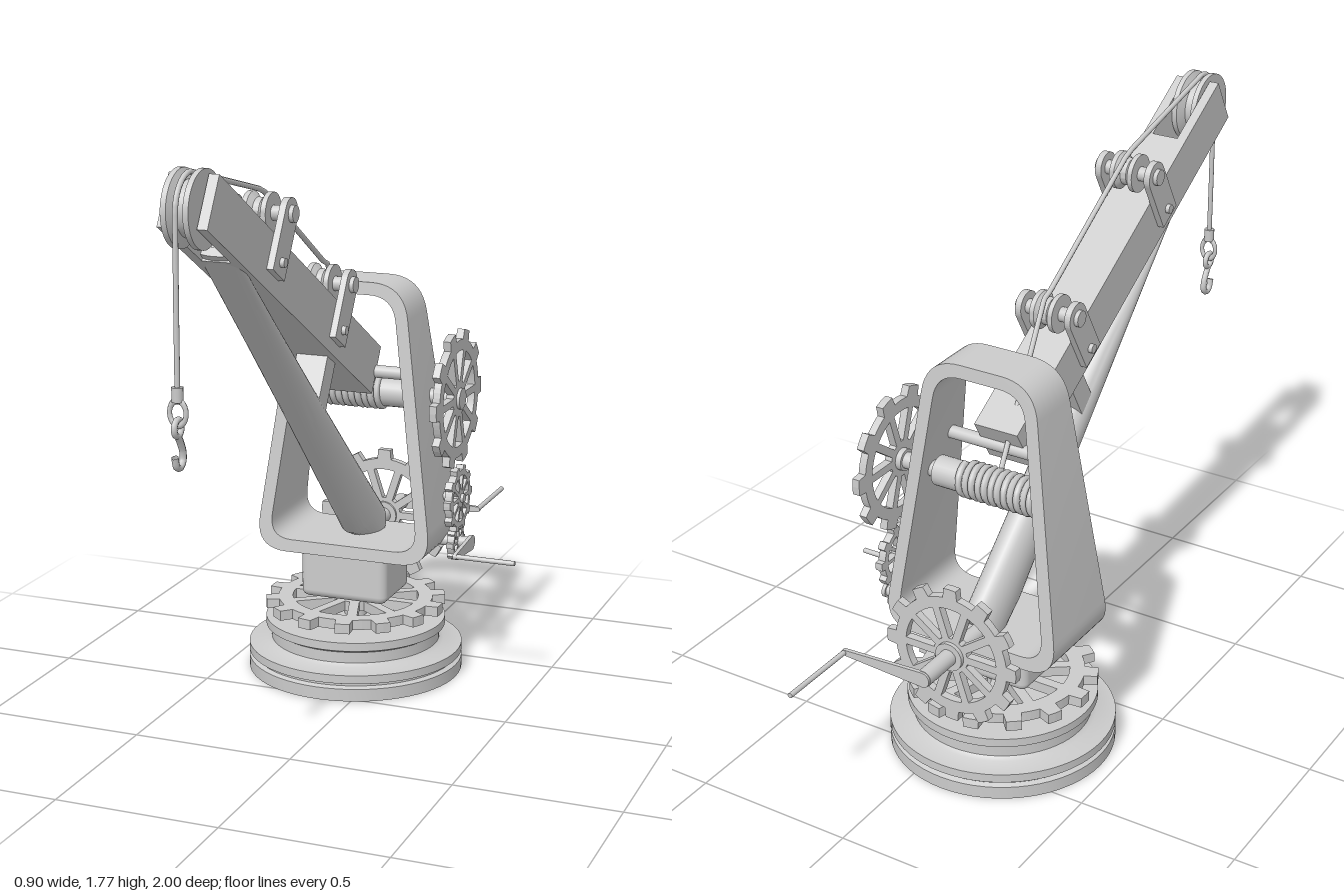
import * as THREE from 'three';
import { toCreasedNormals } from 'three/addons/utils/BufferGeometryUtils.js';
import { RoundedBoxGeometry } from 'three/addons/geometries/RoundedBoxGeometry.js';

const CX = -0.11; // centre plane of the crane
const mat = new THREE.MeshStandardMaterial({ color: 0xcccccc, side: THREE.DoubleSide });
const V2 = (x, y) => new THREE.Vector2(x, y);
const V3 = (x, y, z) => new THREE.Vector3(x, y, z);

function add(parent, name, geo, x = 0, y = 0, z = 0) {
  const m = new THREE.Mesh(geo, mat);
  m.name = name;
  m.position.set(x, y, z);
  parent.add(m);
  return m;
}

// Cylinder between two points
function rod(parent, name, a, b, r, sides = 24) {
  const m = add(parent, name, new THREE.CylinderGeometry(r, r, a.distanceTo(b), sides));
  m.position.copy(a).lerp(b, 0.5);
  m.quaternion.setFromUnitVectors(V3(0, 1, 0), b.clone().sub(a).normalize());
  return m;
}

function extrude(shape, depth) {
  return new THREE.ExtrudeGeometry(shape, { depth, bevelEnabled: false, curveSegments: 10 }).translate(0, 0, -depth / 2);
}

// Plate drawn in the (z, y) plane and centred on x
function sidePlate(parent, name, shape, width, x) {
  return add(parent, name, toCreasedNormals(extrude(shape, width), 0.6).rotateY(-Math.PI / 2), x);
}

// Polygon with rounded corners
function roundedPolygon(pts, radius, target) {
  pts.forEach((p, i) => {
    const prev = pts[(i + pts.length - 1) % pts.length], next = pts[(i + 1) % pts.length];
    const a = p.clone().add(prev.clone().sub(p).setLength(radius));
    const b = p.clone().add(next.clone().sub(p).setLength(radius));
    if (i) target.lineTo(a.x, a.y); else target.moveTo(a.x, a.y);
    target.quadraticCurveTo(p.x, p.y, b.x, b.y);
  });
  target.closePath();
  return target;
}

// Spoked gear lying in the xy plane
function gearGeometry(R, teeth, spokes, depth) {
  const shape = new THREE.Shape(), step = (Math.PI * 2) / teeth, root = R * 0.86;
  for (let i = 0; i < teeth; i++) {
    [[-0.5, root], [-0.36, root], [-0.24, root], [-0.18, R], [0, R], [0.18, R], [0.24, root], [0.36, root]].forEach(([f, r], k) => {
      const a = (i + f) * step;
      shape[i + k ? 'lineTo' : 'moveTo'](r * Math.cos(a), r * Math.sin(a));
    });
  }
  shape.closePath();
  const inner = R * 0.26, outer = R * 0.7, half = R * 0.055;
  for (let i = 0; i < spokes; i++) {
    const a0 = (i * Math.PI * 2) / spokes, a1 = a0 + (Math.PI * 2) / spokes;
    const hole = new THREE.Path(), o = half / outer, n = half / inner;
    hole.absarc(0, 0, outer, a0 + o, a1 - o, false);
    hole.absarc(0, 0, inner, a1 - n, a0 + n, true);
    hole.closePath();
    shape.holes.push(hole);
  }
  return extrude(shape, depth);
}

// Crank: axle along +z, arm along +x, handle along +z
function crank(parent, name, arm, handle) {
  const g = new THREE.Group();
  g.name = name;
  const s = new THREE.Shape();
  s.moveTo(0, -0.024);
  s.lineTo(arm, -0.009);
  s.absarc(arm, 0, 0.009, -Math.PI / 2, Math.PI / 2, false);
  s.lineTo(0, 0.024);
  s.absarc(0, 0, 0.024, Math.PI / 2, Math.PI * 1.5, false);
  add(g, name + 'Arm', extrude(s, 0.012));
  rod(g, name + 'Handle', V3(arm, 0, 0), V3(arm, 0, handle), 0.008, 12);
  parent.add(g);
  return g;
}

function lathe(points, segments = 64) {
  return toCreasedNormals(new THREE.LatheGeometry(points.map(p => V2(...p)), segments), 0.6);
}

// Grooved wheel with its axle along x
function pulley(parent, name, r, w, y, z) {
  const g = lathe([[0, -w], [r, -w], [r, -w * 0.6], [r * 0.72, -w * 0.25], [r * 0.72, w * 0.25], [r, w * 0.6], [r, w], [0, w]], 40);
  return add(parent, name, g.rotateZ(Math.PI / 2), CX, y, z);
}

export function createModel() {
  const crane = new THREE.Group();
  crane.name = 'crane';

  // Hollow stepped base, turntable gear and pedestal
  add(crane, 'base', lathe([
    [0, 0.13], [0.06, 0.13], [0.06, 0.115], [0.1, 0.115], [0.1, 0.13], [0.25, 0.13], [0.25, 0.07], [0.32, 0.06], [0.32, 0],
    [0.345, 0], [0.345, 0.04], [0.33, 0.046], [0.33, 0.052], [0.345, 0.058], [0.345, 0.085], [0.285, 0.09],
    [0.272, 0.1], [0.272, 0.135], [0.29, 0.145], [0.29, 0.172], [0, 0.172]]), CX, 0, -0.31);
  rod(crane, 'turntableShaft', V3(CX, 0.16, -0.31), V3(CX, 0.28, -0.31), 0.036);
  add(crane, 'turntableGear', gearGeometry(0.29, 14, 10, 0.032).rotateX(Math.PI / 2), CX, 0.218, -0.31);
  add(crane, 'pedestal', new RoundedBoxGeometry(0.29, 0.17, 0.226, 3, 0.025), CX, 0.333, -0.305);

  // Trapezoid frame, its depth shrinking towards the top
  const ring = roundedPolygon([V2(-0.3, 0.395), V2(0.3, 0.395), V2(0.178, 1.275), V2(-0.178, 1.275)], 0.11, new THREE.Shape());
  ring.holes.push(roundedPolygon([V2(-0.253, 0.435), V2(0.253, 0.435), V2(0.143, 1.235), V2(-0.143, 1.235)], 0.08, new THREE.Path()));
  let frame = extrude(ring, 2);
  const p = frame.attributes.position;
  for (let i = 0; i < p.count; i++) p.setZ(i, p.getZ(i) * (0.157 - 0.079 * (p.getY(i) - 0.395) / 0.88));
  frame = toCreasedNormals(frame, 0.6);
  add(crane, 'frame', frame, CX, 0, -0.342);

  // Boom with a forked tip
  const d = V2(0.86, 0.51), n = V2(-0.51, 0.86), tip = V2(0.925, 1.625);
  const along = (s, t) => tip.clone().addScaledVector(d, -s).addScaledVector(n, t);
  const boomPart = (s0, s1) => new THREE.Shape([along(s1, 0), along(s0, 0), along(s0, 0.156), along(s1, 0.156)]);
  sidePlate(crane, 'boom', boomPart(0.24, 1.38), 0.145, CX);
  for (const side of [-1, 1]) sidePlate(crane, 'boomCheek', boomPart(0, 0.24), 0.03, CX + side * 0.0575);
  rod(crane, 'boomPivot', V3(-0.32, 0.985, -0.3), V3(0.1, 0.985, -0.3), 0.02);

  // Strut growing deeper towards its foot, cut level on the frame floor
  const strut = new THREE.CylinderGeometry(1, 1, 1, 32, 12);
  const sp = strut.attributes.position;
  const top = V2(0.72, 1.53), foot = V2(-0.42, 0.43);
  const dir = top.clone().sub(foot).normalize();
  for (let i = 0; i < sp.count; i++) {
    const t = sp.getY(i) + 0.5, c = foot.clone().lerp(top, t), h = sp.getZ(i) * (0.098 - 0.083 * t);
    sp.setXYZ(i, sp.getX(i) * 0.058, Math.max(0.42, c.y - dir.x * h), c.x + dir.y * h);
  }
  strut.computeVertexNormals();
  add(crane, 'strut', toCreasedNormals(strut, 0.6), CX);
  const brace = add(crane, 'strutBrace', new THREE.BoxGeometry(0.1, 0.2, 0.07), CX, 1.02, 0.06);
  brace.rotation.x = -0.53;

  // Rope guides on the boom: bracket plates, wheel, axle and bolts
  for (const [z, y] of [[0.418, 1.593], [-0.04, 1.31]]) {
    const g = new THREE.Group();
    g.name = 'ropeGuide';
    const s = new THREE.Shape();
    s.moveTo(-0.046, -0.183);
    s.lineTo(0.046, -0.183);
    s.absarc(0, 0, 0.046, 0, Math.PI, false);
    s.closePath();
    for (const side of [-1, 1]) {
      const plate = add(g, 'guideBracket', extrude(s, 0.02).rotateY(-Math.PI / 2), CX + side * 0.083, y, z);
      plate.rotation.x = -0.535;
      for (const [k, r] of [[0, 0.025], [0.145, 0.014]]) {
        const bz = z + 0.51 * k, by = y - 0.86 * k;
        rod(g, 'guideBolt', V3(CX + side * 0.08, by, bz), V3(CX + side * 0.106, by, bz), r, 16);
      }
    }
    pulley(g, 'guideWheel', 0.058, 0.038, y, z);
    rod(g, 'guideAxle', V3(CX - 0.08, y, z), V3(CX + 0.08, y, z), 0.022);
    crane.add(g);
  }
  pulley(crane, 'tipPulley', 0.107, 0.04, 1.668, 0.863);
  rod(crane, 'tipAxle', V3(CX - 0.07, 1.668, 0.863), V3(CX + 0.07, 1.668, 0.863), 0.02);

  // Winch drum with wound rope
  const WY = 0.9, WZ = -0.385;
  rod(crane, 'winchDrum', V3(-0.305, WY, WZ), V3(0.055, WY, WZ), 0.046);
  rod(crane, 'winchShaft', V3(-0.32, WY, WZ), V3(0.22, WY, WZ), 0.025);
  const coil = [], turns = 12;
  for (let i = 0; i <= turns * 16; i++) {
    const a = (i / 16) * Math.PI * 2;
    coil.push(V3(-0.295 + (0.26 * i) / (turns * 16), WY + 0.047 * Math.cos(a), WZ + 0.047 * Math.sin(a)));
  }
  add(crane, 'woundRope', new THREE.TubeGeometry(new THREE.CatmullRomCurve3(coil), turns * 20, 0.011, 6));

  // Rope over the guides and the tip pulley
  const rope = [V3(-0.14, 0.945, -0.36), V3(CX, 1.362, -0.075), V3(CX, 1.376, -0.04), V3(CX, 1.645, 0.39), V3(CX, 1.66, 0.43)];
  for (let i = 0; i <= 6; i++) {
    const a = Math.PI * (0.46 - 0.076 * i);
    rope.push(V3(CX, 1.668 + 0.1 * Math.sin(a), 0.863 + 0.1 * Math.cos(a)));
  }
  rope.push(V3(CX, 1.4, 0.968), V3(CX, 1.2, 0.97));
  const path = new THREE.CurvePath();
  for (let i = 1; i < rope.length; i++) path.add(new THREE.LineCurve3(rope[i - 1], rope[i]));
  add(crane, 'rope', new THREE.TubeGeometry(path, 200, 0.008, 8));

  // Rope clamp, eye and hook
  rod(crane, 'ropeClamp', V3(CX, 1.175, 0.97), V3(CX, 1.215, 0.97), 0.016, 12);
  const eye = add(crane, 'ropeEye', new THREE.TorusGeometry(0.024, 0.007, 8, 24), CX, 1.145, 0.97);
  eye.scale.y = 1.4;
  const loop = add(crane, 'hookEye', new THREE.TorusGeometry(0.022, 0.009, 8, 24), CX, 1.105, 0.972);
  loop.rotation.y = Math.PI / 2;
  const hook = [[0.972, 1.083], [0.958, 1.062], [0.945, 1.035], [0.945, 1.01], [0.963, 0.995], [0.983, 1.002], [0.993, 1.03]];
  add(crane, 'hook', new THREE.TubeGeometry(new THREE.CatmullRomCurve3(hook.map(([z, y]) => V3(CX, y, z))), 40, 0.01, 8));

  // Side gear train and its crank
  for (const [name, R, teeth, y, x] of [['winchGear', 0.22, 10, WY, 0.2], ['idlerGear', 0.108, 10, 0.575, 0.21], ['pinion', 0.06, 8, 0.43, 0.205]]) {
    add(crane, name, gearGeometry(R, teeth, teeth, 0.024).rotateY(Math.PI / 2), x, y, WZ + 0.005);
  }
  rod(crane, 'winchHub', V3(0.17, WY, WZ), V3(0.222, WY, WZ), 0.034);
  rod(crane, 'idlerShaft', V3(0.13, 0.575, WZ), V3(0.232, 0.575, WZ), 0.014);
  rod(crane, 'sideCrankShaft', V3(0.12, 0.43, WZ), V3(0.26, 0.43, WZ), 0.018);
  const sideCrank = crank(crane, 'sideCrank', 0.155, 0.195);
  sideCrank.position.set(0.255, 0.43, WZ);
  sideCrank.rotation.set(0, Math.PI / 2, Math.PI);

  // Rear slewing gear and its crank
  add(crane, 'rearGear', gearGeometry(0.222, 12, 10, 0.025), CX, 0.432, -0.58);
  rod(crane, 'rearHub', V3(CX, 0.432, -0.56), V3(CX, 0.432, -0.605), 0.045);
  rod(crane, 'rearShaft', V3(CX, 0.432, -0.4), V3(CX, 0.432, -0.735), 0.026);
  const rearCrank = crank(crane, 'rearCrank', 0.272, 0.264);
  rearCrank.position.set(CX, 0.432, -0.736);
  rearCrank.rotation.x = Math.PI;

  return crane;
}
